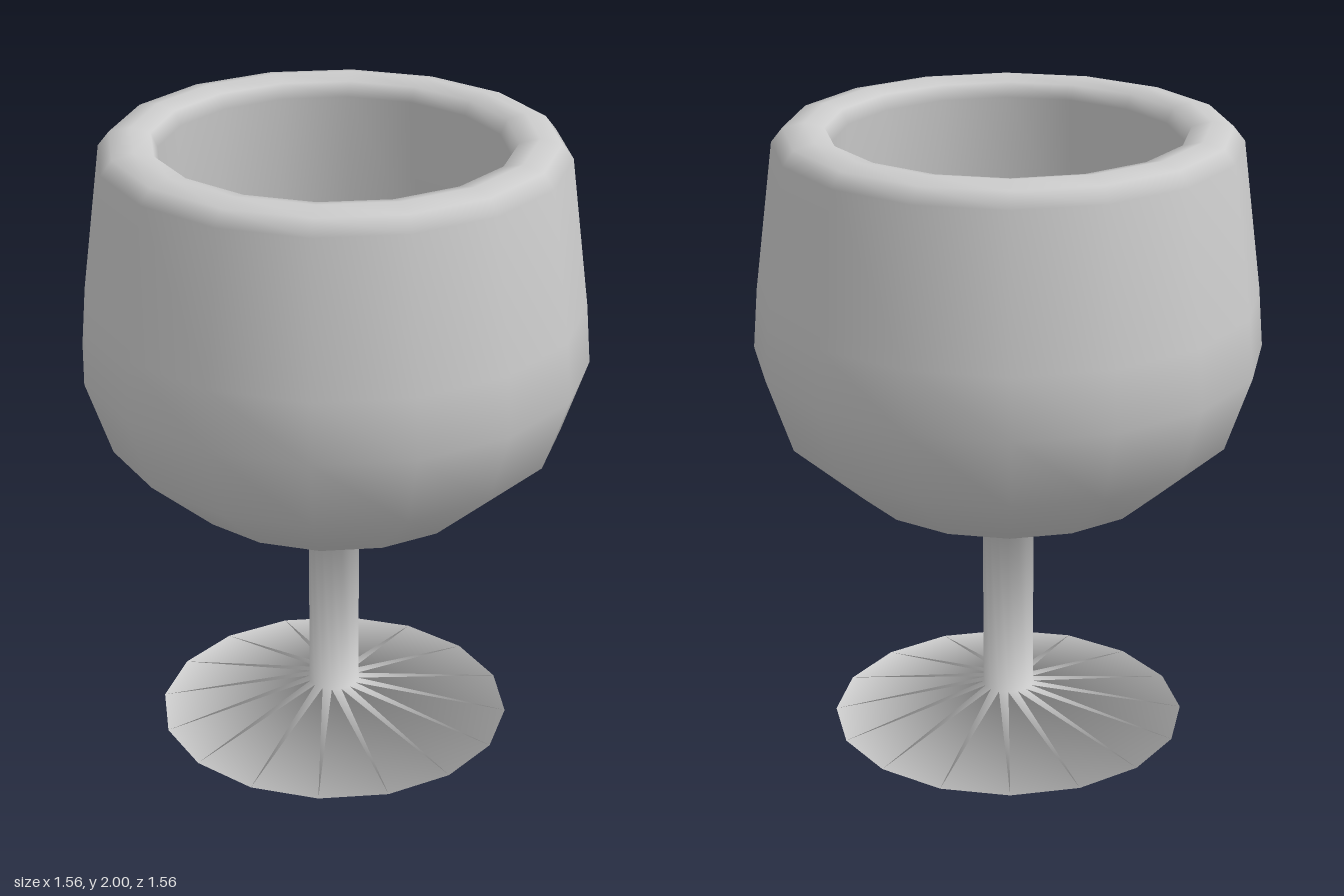
import * as THREE from 'three';

const SIDES = 16;

export function createModel() {
  const group = new THREE.Group();
  group.name = 'goblet';

  // Profile as [half width across flats, height], one continuous smooth surface
  const foot = [[0, 0], [0.56, 0], [0.08, 0.1]];
  const outerBowl = [
    [0.08, 0.68], [0.48, 0.84], [0.7, 1.04], [0.78, 1.28], [0.765, 1.47],
    [0.705, 1.94], [0.67, 1.985],
  ];
  const rim = [[0.605, 2], [0.545, 1.985], [0.525, 1.94]];
  const innerBowl = [[0.58, 1.47], [0.595, 1.3], [0.54, 1.14], [0.37, 0.99], [0.08, 0.88], [0, 0.875]];

  // Corner radius from the half width; turned half a step so flats face the axes
  const half = Math.PI / SIDES;
  const profile = [...foot, ...outerBowl, ...rim, ...innerBowl]
    .map(([r, y]) => new THREE.Vector2(r / Math.cos(half), y));

  const goblet = new THREE.Mesh(
    new THREE.LatheGeometry(profile, SIDES, half),
    new THREE.MeshStandardMaterial({ color: 0xcccccc }),
  );
  goblet.name = 'footStemAndBowl';
  group.add(goblet);
  return group;
}
